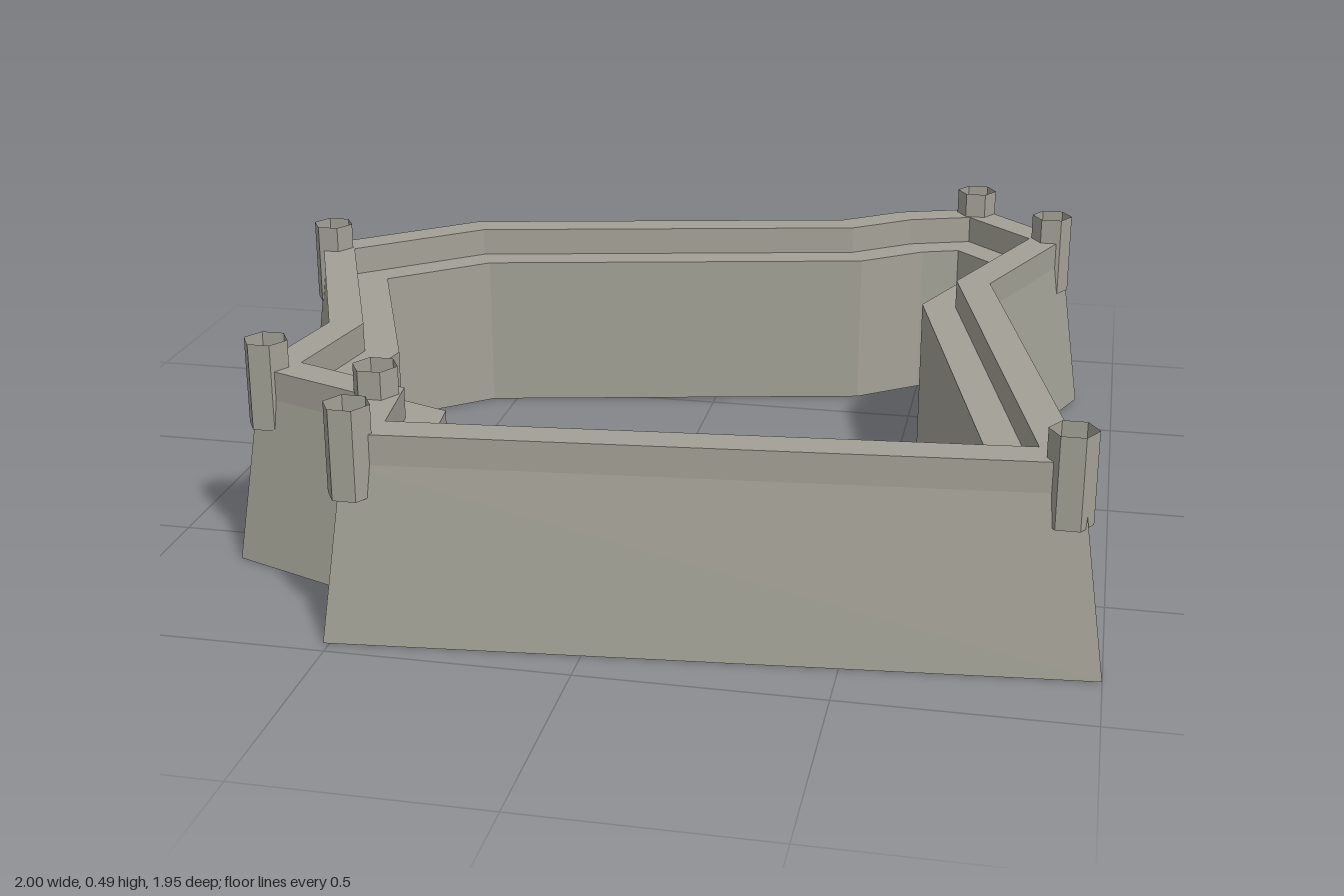
import * as THREE from 'three';

// Ground outline of the wall (x, z), clockwise seen from above
const OUTLINE = [
  [-1.0, -0.295], [-0.647, -0.594], [0.273, -0.797], [0.406, -0.898],
  [0.642, -0.98], [0.909, -0.706], [0.743, -0.283], [1.0, 0.826],
  [-0.513, 0.968], [-0.54, 0.738], [-0.823, 0.626], [-0.77, 0.294],
];

// Cross-section strips as [inset from outline, height]
const STRIPS = {
  slopedOuterWall: [[0, 0], [0.045, 0.367]],
  parapet: [[0.045, 0.367], [0.045, 0.43], [0.12, 0.43], [0.12, 0.365]],
  walkway: [[0.12, 0.365], [0.195, 0.365]],
  innerWall: [[0.195, 0.365], [0.195, 0]],
  wallBase: [[0.195, 0], [0, 0]],
};

// Hexagonal corner turret centres (x, z)
const TURRETS = [
  [-0.912, -0.268], [0.622, -0.89], [0.822, -0.686], [0.916, 0.768],
  [-0.46, 0.906], [-0.476, 0.69], [-0.752, 0.583],
];

// Mitred inward direction at each corner for a unit inset
const MITRES = OUTLINE.map((p, i) => {
  const n = OUTLINE.length;
  const normal = (a, b) => new THREE.Vector2(a[1] - b[1], b[0] - a[0]).normalize();
  const n1 = normal(OUTLINE[(i + n - 1) % n], p);
  const n2 = normal(p, OUTLINE[(i + 1) % n]);
  return n1.clone().add(n2).divideScalar(1 + n1.dot(n2));
});

// Sweep a section around the closed outline
function sweep(section) {
  const n = OUTLINE.length;
  const pos = [], index = [];
  for (const [inset, y] of section) {
    OUTLINE.forEach(([x, z], i) => pos.push(x + MITRES[i].x * inset, y, z + MITRES[i].y * inset));
  }
  for (let k = 0; k < section.length - 1; k++) {
    for (let i = 0; i < n; i++) {
      const j = (i + 1) % n;
      const a = k * n + i, b = k * n + j, c = b + n, d = a + n;
      index.push(a, d, c, a, c, b);
    }
  }
  const indexed = new THREE.BufferGeometry();
  indexed.setAttribute('position', new THREE.Float32BufferAttribute(pos, 3));
  indexed.setIndex(index);
  const geometry = indexed.toNonIndexed();
  geometry.computeVertexNormals();
  return geometry;
}

export function createModel() {
  const model = new THREE.Group();
  model.name = 'fortressWall';
  const stone = new THREE.MeshStandardMaterial({ color: 0xa3a196, flatShading: true, side: THREE.DoubleSide });
  stone.name = 'greyStone';

  // Wall ring
  for (const [name, section] of Object.entries(STRIPS)) {
    const mesh = new THREE.Mesh(sweep(section), stone);
    mesh.name = name;
    model.add(mesh);
  }

  // Open-topped turrets with a vertex pointing along x
  const turretGeometry = new THREE.CylinderGeometry(0.048, 0.048, 0.19, 6, 1, true);
  turretGeometry.rotateY(Math.PI / 6);
  TURRETS.forEach(([x, z], i) => {
    const turret = new THREE.Mesh(turretGeometry, stone);
    turret.name = `cornerTurret${i + 1}`;
    turret.position.set(x, 0.395, z);
    model.add(turret);
  });
  return model;
}
